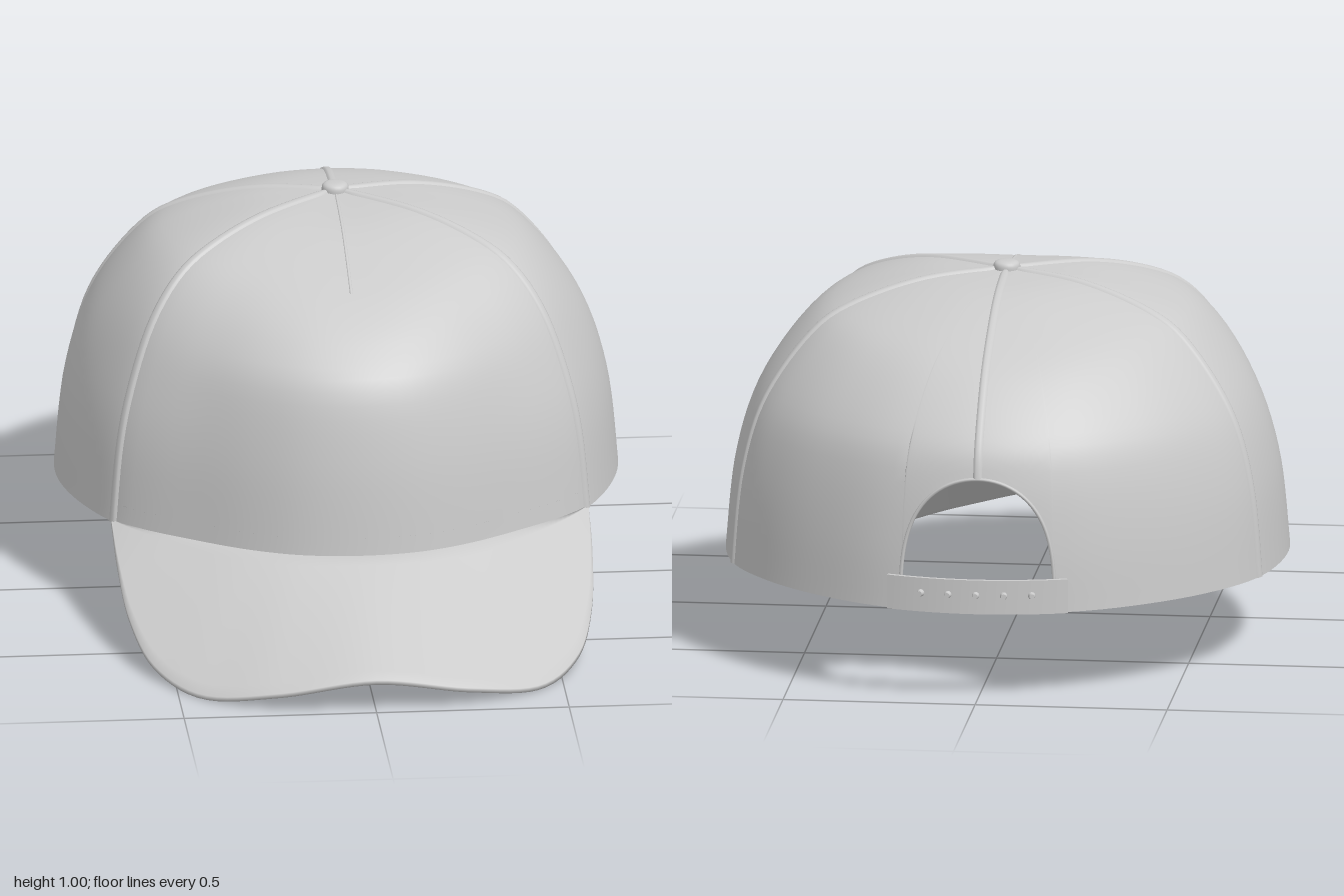
import * as THREE from 'three';
import { toCreasedNormals } from 'three/addons/utils/BufferGeometryUtils.js';

const V3 = (x, y, z) => new THREE.Vector3(x, y, z);
const AXIS_Z = -0.26;          // crown axis, under the button
const FRONT_SEAM = 0.943, BACK_SEAM = 1.92;
const ARCH = 0.285, ARCH_TOP = 0.245;   // back opening: half angle and height along the profile

// Half outline of the crown's lower edge (x, z), front to back
const half = [[0, 0.54], [0.15, 0.52], [0.285, 0.46], [0.44, 0.35], [0.55, 0.26], [0.62, 0.18], [0.70, -0.02],
  [0.73, -0.24], [0.685, -0.51], [0.59, -0.67], [0.45, -0.81], [0.25, -0.93], [0, -0.975]];
const ring = [...half, ...half.slice(1, -1).reverse().map(([x, z]) => [-x, z])];
const outline = new THREE.CatmullRomCurve3(ring.map(([x, z]) => V3(x, 0, z)), true)
  .getPoints(600).slice(0, 301)
  .map(p => [Math.abs(Math.atan2(p.x, p.z - AXIS_Z)), Math.hypot(p.x, p.z - AXIS_Z)])
  .sort((a, b) => a[0] - b[0]);

function baseRadius(angle) {
  const a = Math.abs(Math.atan2(Math.sin(angle), Math.cos(angle)));
  const i = outline.findIndex(o => o[0] >= a);
  if (i < 1) return outline[i === 0 ? 0 : outline.length - 1][1];
  const [a0, r0] = outline[i - 1], [a1, r1] = outline[i];
  return r0 + (r1 - r0) * (a - a0) / (a1 - a0 || 1);
}

// Vertical profiles (fraction of base radius, height) at key angles
const profiles = [
  [0, [[1, 0.26], [0.975, 0.5], [0.925, 0.685], [0.84, 0.766], [0.72, 0.835], [0.57, 0.89], [0.3, 0.957], [0, 0.985]]],
  [FRONT_SEAM, [[1, 0.25], [0.97, 0.45], [0.92, 0.6], [0.83, 0.76], [0.71, 0.87], [0.56, 0.93], [0.32, 0.973], [0, 0.985]]],
  [1.6, [[1, 0.24], [0.965, 0.48], [0.88, 0.675], [0.72, 0.84], [0.57, 0.915], [0.3, 0.97], [0, 0.985]]],
  [Math.PI, [[1, 0.24], [0.99, 0.4], [0.957, 0.58], [0.9, 0.685], [0.72, 0.82], [0.49, 0.91], [0.27, 0.963], [0, 0.985]]],
].map(([angle, pts]) => [angle, new THREE.SplineCurve(pts.map(p => new THREE.Vector2(...p)))]);

// Point on the crown: angle from the front, s from lower edge (0) to button (1)
function crownPoint(angle, s) {
  const a = Math.abs(Math.atan2(Math.sin(angle), Math.cos(angle)));
  let k = 0;
  while (k < profiles.length - 2 && a > profiles[k + 1][0]) k++;
  const t = THREE.MathUtils.smoothstep(a, profiles[k][0], profiles[k + 1][0]);
  const p = profiles[k][1].getPointAt(s).lerp(profiles[k + 1][1].getPointAt(s), t);
  const r = baseRadius(angle) * p.x;
  return V3(Math.sin(angle) * r, p.y, AXIS_Z + Math.cos(angle) * r);
}

// Crown point moved along the surface normal
function crownOffset(angle, s, d) {
  const s0 = Math.max(s - 0.01, 0), s1 = Math.min(s + 0.01, 0.99);
  const du = crownPoint(angle + 0.01, s).sub(crownPoint(angle - 0.01, s));
  const dv = crownPoint(angle, s1).sub(crownPoint(angle, s0));
  return crownPoint(angle, s).addScaledVector(du.cross(dv).normalize(), d);
}

// Surface through a grid of points; rows or columns may wrap
function grid(nu, nv, point, wrapU = false, wrapV = false) {
  const pos = [], index = [];
  for (let i = 0; i < nu; i++) for (let j = 0; j < nv; j++) pos.push(...point(i, j).toArray());
  for (let i = 0; i < nu - (wrapU ? 0 : 1); i++) {
    for (let j = 0; j < nv - (wrapV ? 0 : 1); j++) {
      const i1 = (i + 1) % nu, j1 = (j + 1) % nv;
      const a = i * nv + j, b = i1 * nv + j, c = i1 * nv + j1, d = i * nv + j1;
      index.push(a, b, c, a, c, d);
    }
  }
  const g = new THREE.BufferGeometry();
  g.setAttribute('position', new THREE.Float32BufferAttribute(pos, 3));
  g.setIndex(index);
  g.computeVertexNormals();
  return g;
}

export function createModel() {
  const cap = new THREE.Group();
  cap.name = 'cap';
  const material = new THREE.MeshStandardMaterial({ color: 0xcccccc, side: THREE.DoubleSide });
  const add = (name, geometry) => {
    const mesh = new THREE.Mesh(geometry, material);
    mesh.name = name;
    cap.add(mesh);
    return mesh;
  };

  // Crown: columns all round, those at the back start on the arch of the opening
  const archPoint = phi => [Math.PI - ARCH * Math.cos(phi), ARCH_TOP * Math.max(Math.sin(phi), 0) ** 0.6];
  const columns = [];
  for (let i = 0; i <= 120; i++) columns.push([(Math.PI - ARCH) * (i / 60 - 1), 0]);
  for (let i = 1; i < 28; i++) columns.push(archPoint(Math.PI * i / 28));
  const rows = 40;
  add('crown', grid(columns.length, rows, (i, j) => {
    const [angle, start] = columns[i];
    return crownPoint(angle, start + (0.998 - start) * j / (rows - 1));
  }, true));

  // Bound edge of the back opening
  const archPath = [];
  for (let i = 0; i <= 28; i++) archPath.push(crownPoint(...archPoint(Math.PI * i / 28)));
  add('openingEdge', new THREE.TubeGeometry(new THREE.CatmullRomCurve3(archPath), 60, 0.005, 6));

  // Raised seams between the panels
  function seam(name, angle, s0, s1, halfWidth, height) {
    add(name, grid(40, 7, (i, j) => {
      const s = s0 + (s1 - s0) * i / 39, v = 1 - j / 3;
      const p = crownPoint(angle, s);
      const r = Math.max(Math.hypot(p.x, p.z - AXIS_Z), 0.05);
      return crownOffset(angle + v * halfWidth / r, s, -0.002 + (height + 0.002) * (1 - v ** 4));
    }));
  }
  for (const [side, label] of [[1, 'left'], [-1, 'right']]) {
    seam(label + 'FrontSeam', side * FRONT_SEAM, 0, 0.97, 0.015, 0.006);
    seam(label + 'BackSeam', side * BACK_SEAM, 0, 0.97, 0.015, 0.006);
  }
  seam('backSeam', Math.PI, ARCH_TOP, 0.97, 0.013, 0.005);
  seam('frontCrease', 0, 0.56, 0.97, 0.005, 0.002);

  // Hem inside the front panel, above the brim
  add('frontHem', grid(41, 4, (i, j) =>
    crownOffset(FRONT_SEAM * (i / 20 - 1), 0.012 * j, j === 3 ? 0 : -0.007)));

  // Brim: closed loops from the crown edge out to the curved rim
  const rimHalf = [[0.62, 0.248, 0.19], [0.617, 0.18, 0.34], [0.6, 0.097, 0.52], [0.55, 0.032, 0.7],
    [0.44, 0.008, 0.86], [0.25, 0.042, 0.962], [0, 0.083, 0.995]];
  const rim = new THREE.CatmullRomCurve3(
    [...rimHalf.map(([x, y, z]) => V3(-x, y, z)), ...rimHalf.slice(0, -1).reverse().map(p => V3(...p))]);
  const steps = 14;
  add('brim', grid(81, steps * 2, (i, j) => {
    const u = i / 80;
    const top = j >= steps;
    const t = (top ? 2 * steps - 1 - j : j) / (steps - 1);
    const p = crownPoint(FRONT_SEAM * (2 * u - 1), 0).lerp(rim.getPointAt(u), t);
    p.y += top ? 0.006 : -0.006;
    return p;
  }, false, true));

  // Strap across the back opening
  const strapSection = [[0.012, 0.24], [0.012, 0.33], [0.001, 0.33], [0.001, 0.24]];
  const strapPoint = (angle, d, y) => {
    const r = baseRadius(angle) + d;
    return V3(Math.sin(angle) * r, y, AXIS_Z + Math.cos(angle) * r);
  };
  add('strap', toCreasedNormals(grid(31, 4, (i, j) => {
    const end = i === 0 || i === 30;
    const k = Math.min(Math.max(i, 1), 29);
    const angle = Math.PI + 0.33 * ((k - 1) / 14 - 1);
    return end ? strapPoint(angle, 0.006, 0.285) : strapPoint(angle, ...strapSection[j]);
  }, false, true), 0.6));

  // Snap studs on the strap
  for (let i = -2; i <= 2; i++) {
    const angle = Math.PI + i * 0.1;
    const stud = add('strapStud', new THREE.CylinderGeometry(0.007, 0.01, 0.014, 12));
    stud.position.copy(strapPoint(angle, 0.018, 0.29));
    stud.rotation.set(Math.PI / 2, angle, 0, 'YXZ');
  }

  // Button on top
  const button = [[0, 0.965], [0.03, 0.968], [0.035, 0.985], [0.032, 0.998], [0.02, 1.004], [0, 1.005]];
  add('topButton', new THREE.LatheGeometry(
    new THREE.SplineCurve(button.map(p => new THREE.Vector2(...p))).getPoints(16), 24)).position.z = AXIS_Z;

  return cap;
}
